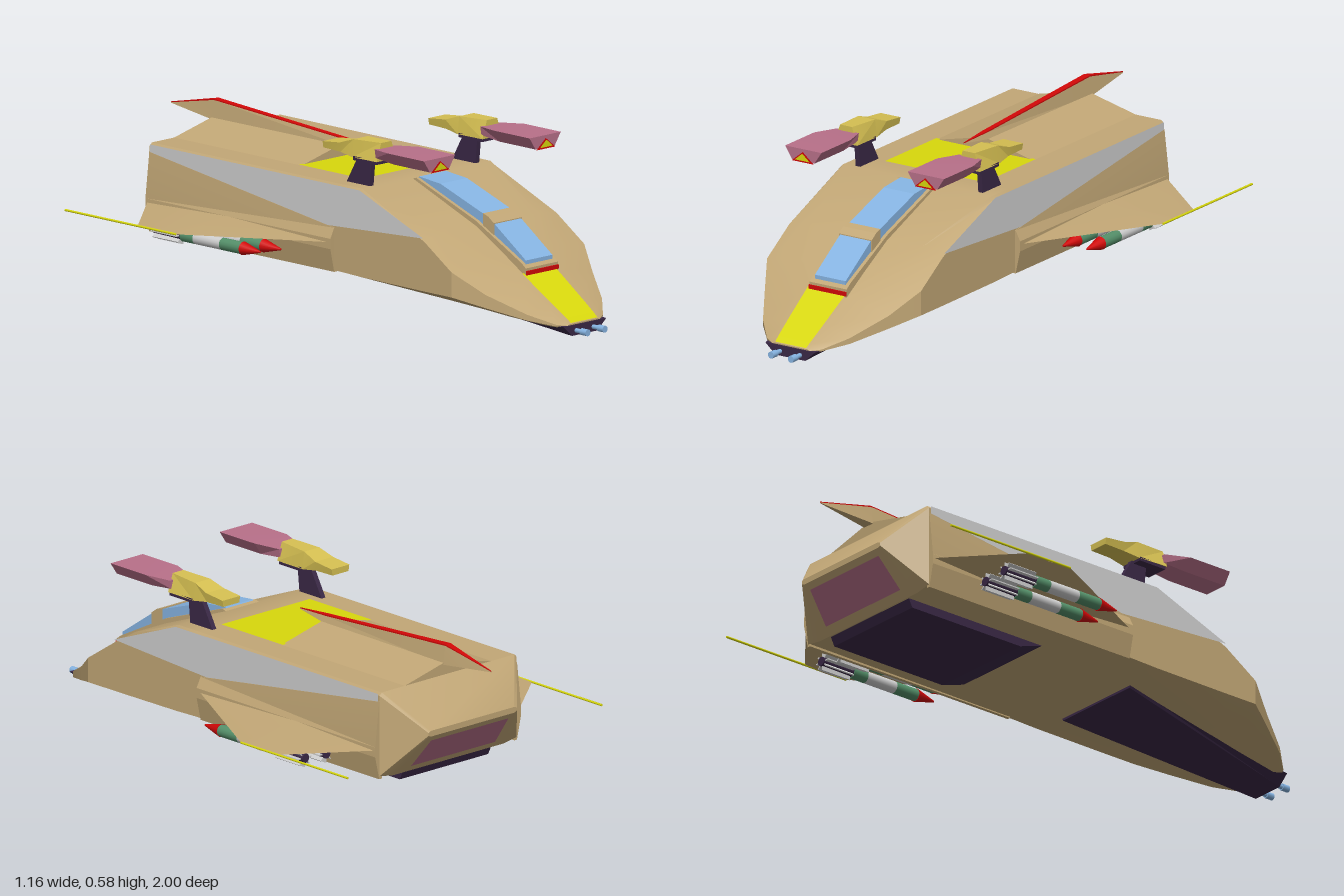
import * as THREE from 'three';
import { toCreasedNormals } from 'three/addons/utils/BufferGeometryUtils.js';

const mat = (name, color) => Object.assign(new THREE.MeshStandardMaterial({ color }), { name });

export function createModel() {
  const tan = mat('tan', 0xc2a776), yellow = mat('yellow', 0xd8d80c), straw = mat('straw', 0xd6c052),
    pink = mat('pink', 0xb87089), dark = mat('darkPurple', 0x3a2846), red = mat('red', 0xd20808),
    blue = mat('glassBlue', 0x86b4e2), green = mat('green', 0x55906a), grey = mat('lightGrey', 0xcfcfcf);
  const model = new THREE.Group();
  model.name = 'spacecraft';

  const add = (parent, name, geo, material, x = 0, y = 0, z = 0) => {
    const m = new THREE.Mesh(geo, material);
    m.name = name;
    m.position.set(x, y, z);
    parent.add(m);
    return m;
  };
  // Skin between rings [z, points], listed back to front, points counterclockwise from the front
  const loft = (rings, crease = 0.45) => {
    const pos = [], idx = [], n = rings[0][1].length, last = (rings.length - 1) * n;
    rings.forEach(([z, pts]) => pts.forEach(([x, y]) => pos.push(x, y, z)));
    for (let i = 0; i < last; i += n)
      for (let j = 0; j < n; j++) {
        const k = (j + 1) % n;
        idx.push(i + j, i + k, i + n + k, i + j, i + n + k, i + n + j);
      }
    for (let j = 1; j < n - 1; j++) idx.push(0, j + 1, j, last, last + j, last + j + 1);
    const g = new THREE.BufferGeometry();
    g.setAttribute('position', new THREE.Float32BufferAttribute(pos, 3));
    g.setIndex(idx);
    return toCreasedNormals(g, crease);
  };
  // Full ring from its right half, bottom to top
  const sym = half => [...half, ...half.slice().reverse().map(([x, y]) => [-x, y])];
  // Side profile in (z, y), extruded across x
  const profile = (pts, halfWidth) => {
    const g = new THREE.ExtrudeGeometry(new THREE.Shape(pts.map(([z, y]) => new THREE.Vector2(-z, y))),
      { depth: halfWidth * 2, bevelEnabled: false });
    return g.translate(0, 0, -halfWidth).rotateY(Math.PI / 2);
  };
  // Flat polygon, corners counterclockwise seen from outside
  const panel = pts => {
    const g = new THREE.BufferGeometry();
    g.setAttribute('position', new THREE.Float32BufferAttribute(pts.flat(), 3));
    const idx = [];
    for (let i = 1; i < pts.length - 1; i++) idx.push(0, i, i + 1);
    g.setIndex(idx);
    const flat = g.toNonIndexed();
    flat.computeVertexNormals();
    return flat;
  };

  // Hull: belly edge, lower side, upper side, roof edge at each station
  add(model, 'hull', loft([
    [-0.91, [[0.19, 0.27], [0.2, 0.275], [0.2, 0.285], [0.19, 0.29]]],
    [-0.79, [[0.25, 0.12], [0.31, 0.13], [0.31, 0.41], [0.3, 0.42]]],
    [0.1, [[0.25, 0.12], [0.31, 0.125], [0.31, 0.41], [0.3, 0.42]]],
    [0.2, [[0.235, 0.108], [0.31, 0.122], [0.31, 0.41], [0.3, 0.42]]],
    [0.5, [[0.19, 0.072], [0.31, 0.12], [0.31, 0.29], [0.22, 0.305]]],
    [0.63, [[0.16, 0.057], [0.31, 0.12], [0.31, 0.205], [0.14, 0.232]]],
    [0.73, [[0.14, 0.045], [0.25, 0.09], [0.25, 0.135], [0.08, 0.172]]],
    [0.85, [[0.11, 0.032], [0.175, 0.055], [0.175, 0.075], [0.075, 0.098]]],
    [0.92, [[0.08, 0.024], [0.11, 0.036], [0.11, 0.042], [0.07, 0.054]]],
    [0.94, [[0.06, 0.02], [0.075, 0.032], [0.075, 0.036], [0.065, 0.04]]],
  ].map(([z, half]) => [z, sym(half)])), tan);

  // Roof ridge and long dorsal fin with a red crest
  add(model, 'roofRidge', loft([-0.79, -0.19].map(z => [z, [[-0.2, 0.419], [0.2, 0.419], [0, 0.466]]])), tan);
  const finStations = [[-1, 0.001, 0.474, 0.476], [-0.79, 0.022, 0.455, 0.52],
    [-0.19, 0.016, 0.462, 0.483], [-0.07, 0.001, 0.474, 0.476]];
  add(model, 'dorsalFin', loft(finStations.map(([z, w, y0, y1]) =>
    [z, sym([[w, y0], [w * 0.55, y1]])]), 0.1), tan);
  add(model, 'finCrest', loft(finStations.map(([z, w, , y]) =>
    [z, sym([[w * 0.56, y - 0.002], [w * 0.56, y + 0.003]])]), 0.1), red);

  // Painted panels
  add(model, 'roofPanel', panel([[-0.2, 0.423, 0.1], [0.2, 0.423, 0.1], [0.2, 0.423, -0.2], [-0.2, 0.423, -0.2]]), yellow);
  [[0.94, 0.04, 0.062, 0.92, 0.054, 0.064], [0.92, 0.054, 0.064, 0.85, 0.098, 0.069],
    [0.85, 0.098, 0.069, 0.725, 0.176, 0.076]].forEach(([z0, y0, w0, z1, y1, w1]) =>
    add(model, 'nosePanel', panel([[-w0, y0 + 0.004, z0 + 0.002], [w0, y0 + 0.004, z0 + 0.002],
      [w1, y1 + 0.004, z1 + 0.002], [-w1, y1 + 0.004, z1 + 0.002]]), yellow));
  add(model, 'rearPanel', panel([[0.19, 0.145, -0.814], [-0.19, 0.145, -0.814],
    [-0.175, 0.25, -0.896], [0.175, 0.25, -0.896]]), pink);

  // Canopy: sill, glass, cross band and red lip
  const cx = 0.008;
  add(model, 'canopySill', profile([[0.735, 0.165], [0.735, 0.197], [0.715, 0.212], [0.5, 0.322], [0.22, 0.423],
    [0.19, 0.415], [0.5, 0.28]], 0.075), tan, cx);
  add(model, 'canopyGlass', profile([[0.722, 0.18], [0.722, 0.22], [0.55, 0.338], [0.32, 0.417], [0.22, 0.426],
    [0.2, 0.4], [0.5, 0.28]], 0.062), blue, cx);
  add(model, 'canopyBand', profile([[0.575, 0.26], [0.575, 0.324], [0.55, 0.342], [0.525, 0.35], [0.525, 0.28]], 0.066), tan, cx);
  add(model, 'canopyLip', new THREE.BoxGeometry(0.15, 0.014, 0.008), red, cx, 0.181, 0.736);

  // Belly plates
  add(model, 'chinPlate', loft([
    [0.2, sym([[0.17, 0.1], [0.175, 0.112]])],
    [0.92, sym([[0.065, 0.004], [0.105, 0.036]])],
    [0.945, sym([[0.06, 0], [0.1, 0.036]])],
  ]), dark);
  add(model, 'bellyPod', profile([[-0.2, 0.122], [-0.3, 0.09], [-0.77, 0.09], [-0.785, 0.122]], 0.2), dark);

  // Nose guns
  for (const s of [-1, 1]) {
    add(model, 'noseGun', new THREE.CylinderGeometry(0.008, 0.008, 0.08, 10).rotateX(Math.PI / 2), blue, s * 0.04, 0.016, 0.95);
    add(model, 'noseGunMuzzle', new THREE.CylinderGeometry(0.012, 0.012, 0.028, 10).rotateX(Math.PI / 2), blue, s * 0.04, 0.016, 0.986);
  }

  const missile = (parent, x, y) => {
    const m = new THREE.Group();
    m.name = 'missile';
    m.position.set(x, y, 0);
    parent.add(m);
    const tube = (name, z0, z1, r0, r1, material) => add(m, name,
      new THREE.CylinderGeometry(r1, r0, z1 - z0, 14).rotateX(Math.PI / 2), material, 0, 0, (z0 + z1) / 2);
    tube('warhead', -0.19, -0.11, 0.023, 0.003, red);
    tube('frontBand', -0.285, -0.19, 0.021, 0.021, green);
    tube('body', -0.41, -0.285, 0.021, 0.021, grey);
    tube('rearBand', -0.47, -0.41, 0.021, 0.021, green);
    tube('motor', -0.6, -0.47, 0.016, 0.018, dark);
    for (let i = 0; i < 4; i++)
      add(m, 'tailFin', new THREE.BoxGeometry(0.062, 0.004, 0.12), grey, 0, 0, -0.535).rotation.z = i * Math.PI / 4;
  };

  // Everything carried on each side, built for the left and mirrored
  for (const s of [1, -1]) {
    const side = new THREE.Group();
    side.name = s > 0 ? 'leftSide' : 'rightSide';
    side.scale.x = s;
    model.add(side);

    add(side, 'sidePanel', panel([[0.313, 0.3, 0.5], [0.313, 0.275, 0.05], [0.313, 0.39, -0.785],
      [0.313, 0.416, -0.785], [0.313, 0.416, 0.2]]), grey);
    add(side, 'sideFairing', loft([[-0.79, 0.39], [0.08, 0.27]].map(([z, top]) =>
      [z, [[0.3, 0.12], [0.312, 0.12], [0.33, 0.2], [0.33, 0.235], [0.312, top], [0.3, top]]]), 0.2), tan);

    // Wing tapers in chord and thickness from root to tip
    const ring = [[0.08, 0.222, 0.32], [-0.4, 0.198, 0.32], [-0.79, 0.222, 0.32], [-0.4, 0.236, 0.32]];
    const tip = [[-0.4, 0.213], [-0.49, 0.208], [-0.58, 0.213], [-0.49, 0.216]];
    const wing = loft([[0.32, ring.map(([z, y]) => [-z, y])], [0.575, tip.map(([z, y]) => [-z, y])]], 0.2);
    add(side, 'wing', wing.rotateY(Math.PI / 2), tan);
    add(side, 'wingTipRod', new THREE.CylinderGeometry(0.004, 0.004, 0.52, 8).rotateX(Math.PI / 2), yellow, 0.575, 0.213, -0.66);
    missile(side, 0.468, 0.182);
    missile(side, 0.372, 0.176);

    // Roof cannon
    const gun = new THREE.Group();
    gun.name = 'roofCannon';
    gun.position.x = 0.247;
    side.add(gun);
    add(gun, 'post', profile([[0.08, 0.415], [0.19, 0.52], [0.2, 0.52], [0.2, 0.515], [0.195, 0.415]].map(
      ([z, y], i) => [[0.08, 0.415], [0.14, 0.52], [0.2, 0.52], [0.2, 0.51], [0.19, 0.415]][i]), 0.009), dark);
    add(gun, 'mount', new THREE.BoxGeometry(0.084, 0.014, 0.11), dark, 0, 0.514, 0.2);
    add(gun, 'breech', loft([
      [0, sym([[0.036, 0.526], [0.04, 0.548]])],
      [0.08, sym([[0.036, 0.524], [0.04, 0.556]])],
      [0.14, sym([[0.042, 0.516], [0.034, 0.576]])],
      [0.26, sym([[0.045, 0.518], [0.024, 0.58]])],
    ], 0.2), straw);
    add(gun, 'barrel', loft([
      [0.25, sym([[0.04, 0.53], [0.045, 0.56]])],
      [0.34, sym([[0.045, 0.523], [0.073, 0.565]])],
      [0.51, sym([[0.045, 0.523], [0.073, 0.565]])],
    ], 0.2), pink);
    add(gun, 'muzzleRim', panel([[-0.044, 0.52, 0.513], [0.044, 0.52, 0.513], [0, 0.556, 0.513]]), red);
    add(gun, 'muzzleGlow', panel([[-0.03, 0.526, 0.516], [0.03, 0.526, 0.516], [0, 0.551, 0.516]]), yellow);
  }
  return model;
}
